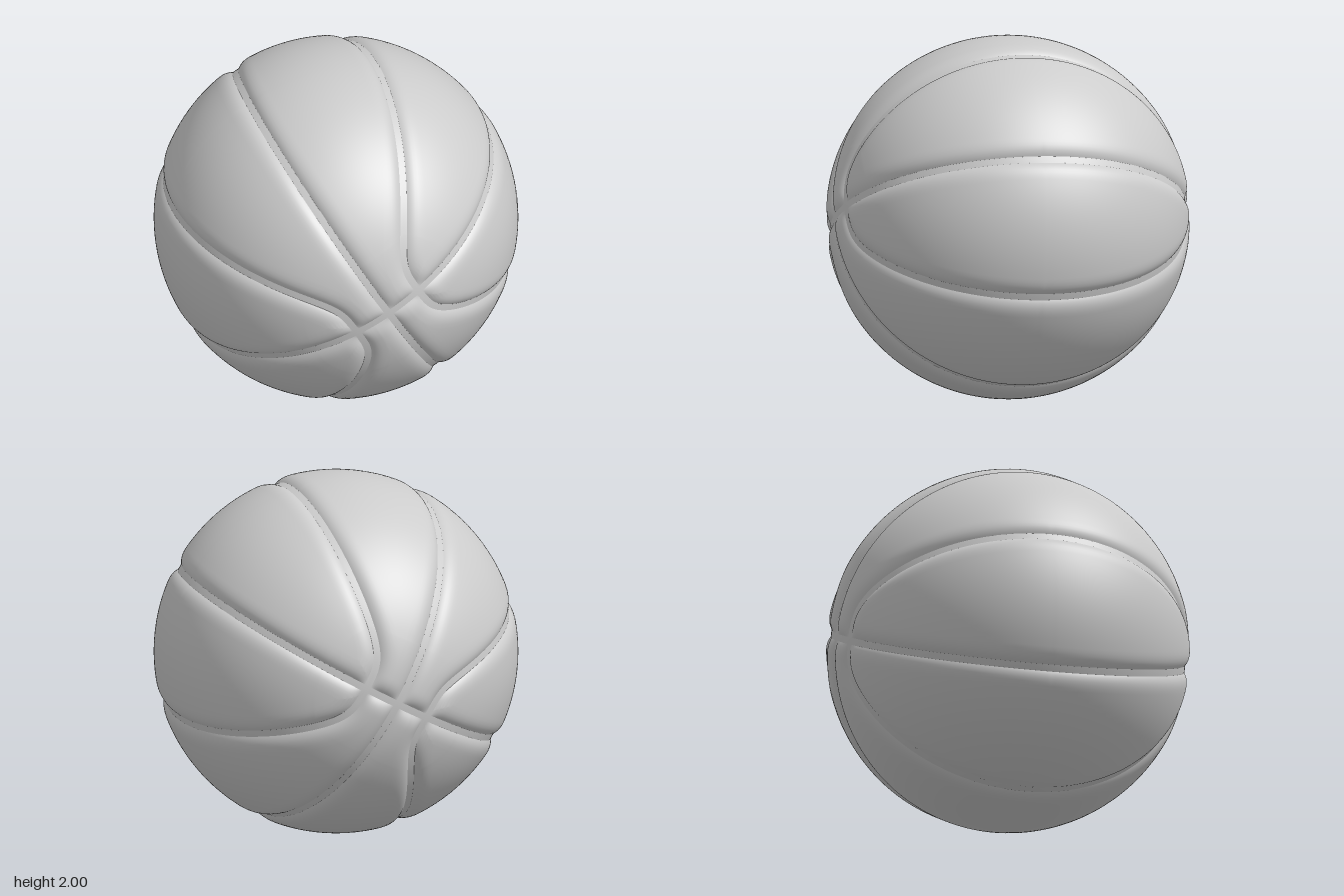
import * as THREE from 'three';
import { mergeVertices } from 'three/addons/utils/BufferGeometryUtils.js';

// The seams are symmetric in a tilted frame: P is the front crossing, U and V lie
// along the two great-circle seams that meet there.
const P = new THREE.Vector3(0.15, 0.035, 0.988).normalize();
const U = new THREE.Vector3(0.855, 0.494, -0.147).addScaledVector(P, -0.0001).normalize();
const V = new THREE.Vector3().crossVectors(P, U).normalize();
U.crossVectors(V, P);

const HALF = 0.02;   // half width of a seam
const DEPTH = 0.025; // seam depth
const ROUND = 0.1;   // how far the panel edge is rounded

// Angular distances to the three seams, for a unit point [p, u, v] in the first octant
const toCircle = c => Math.asin(Math.min(1, Math.abs(c)));
const curveU = v => Math.pow(Math.pow(0.975 * v, 4) + Math.pow(0.21, 4), 0.25);
function toCurve([, u, v]) {
  const w = curveU(v);
  const gv = -Math.pow(0.975, 4) * Math.pow(v / w, 3);
  const radial = u + gv * v;
  return Math.abs(u - w) / Math.sqrt(Math.max(1e-6, 1 + gv * gv - radial * radial));
}
const distances = q => [toCircle(q[1]), toCircle(q[2]), toCurve(q)];

// Surface radius: flat seam floor, panels rounding up out of it
function radius(q) {
  let keep = 1;
  for (const d of distances(q)) {
    const t = THREE.MathUtils.clamp((d - HALF) / ROUND, 0, 1);
    keep *= 1 - Math.pow(1 - t, 3);
  }
  return 1 - DEPTH * (1 - keep);
}

function bisect(test, lo, hi) {
  for (let i = 0; i < 40; i++) {
    const mid = (lo + hi) / 2;
    if (test(mid)) hi = mid; else lo = mid;
  }
  return (lo + hi) / 2;
}

// One row of points across a panel, with samples packed against both seams
const OFFSETS = [0, 0.01, HALF, 0.027, 0.036, 0.048, 0.062, 0.08, 0.1, 0.12];
const MIDDLE = 14;
function row(point, d0, d1) {
  const a = OFFSETS.map(o => (o === 0 ? 0 : bisect(t => d0(point(t)) >= o, 0, 0.5)));
  const b = OFFSETS.map(o => (o === 0 ? 1 : 1 - bisect(t => d1(point(1 - t)) >= o, 0, 0.5)));
  const ts = [...a];
  const from = a[a.length - 1], to = b[b.length - 1];
  for (let i = 1; i < MIDDLE; i++) ts.push(from + (to - from) * i / MIDDLE);
  ts.push(...b.reverse());
  return ts.map(point);
}

// Point on the sphere by longitude and latitude about U
const aboutU = (phi, theta) =>
  [Math.cos(theta) * Math.cos(phi), Math.sin(theta), Math.cos(theta) * Math.sin(phi)];

// Rows of the inner panel (great circle to curve) and outer panel (curve to great circle)
function octantRows() {
  const phis = [];
  for (let i = 0; i < 36; i++) phis.push(i * 0.01);
  const start = 0.35, steps = 38;
  for (let i = 1; i <= steps; i++) phis.push(start + (Math.PI / 2 - start) * i / steps);

  const inner = [], outer = [];
  for (const phi of phis) {
    const thetaC = bisect(th => {
      const q = aboutU(phi, th);
      return q[1] >= curveU(q[2]);
    }, 0, Math.PI / 2);
    inner.push(row(t => aboutU(phi, t * thetaC), q => toCircle(q[1]), toCurve));

    const c = aboutU(phi, thetaC);
    const s = Math.hypot(c[1], c[2]), psiC = Math.atan2(c[2], c[1]);
    outer.push(row(t => [c[0], s * Math.cos(t * psiC), s * Math.sin(t * psiC)],
      q => toCircle(q[2]), toCurve));
  }
  return [inner, outer];
}

function buildSurfaces() {
  const seam = [], panel = [];
  const A = new THREE.Vector3(), B = new THREE.Vector3(), N = new THREE.Vector3();

  const place = (q, r, [sp, su, sv]) => new THREE.Vector3()
    .addScaledVector(P, q[0] * sp * r)
    .addScaledVector(U, q[1] * su * r)
    .addScaledVector(V, q[2] * sv * r);

  const triangle = (out, a, b, c) => {
    N.crossVectors(A.subVectors(b, a), B.subVectors(c, a));
    if (N.length() < 1e-9) return;
    const order = N.dot(a) > 0 ? [a, b, c] : [a, c, b];
    for (const v of order) out.push(v.x, v.y, v.z);
  };

  const isSeam = (...qs) => {
    const m = [0, 1, 2].map(k => qs.reduce((sum, q) => sum + q[k], 0) / qs.length);
    const l = Math.hypot(...m);
    return Math.min(...distances(m.map(x => x / l))) < HALF;
  };

  const signs = [];
  for (const a of [1, -1]) for (const b of [1, -1]) for (const c of [1, -1]) signs.push([a, b, c]);

  for (const rows of octantRows()) {
    const radii = rows.map(r => r.map(radius));
    // Mirror the octant to all eight
    for (const sign of signs) {
      const pts = rows.map((r, i) => r.map((q, j) => place(q, radii[i][j], sign)));
      for (let i = 0; i + 1 < rows.length; i++) {
        for (let j = 0; j + 1 < rows[i].length; j++) {
          const corners = [[i, j], [i + 1, j], [i + 1, j + 1], [i, j + 1]];
          for (const [x, y, z] of [[0, 1, 2], [0, 2, 3]]) {
            const tri = [corners[x], corners[y], corners[z]];
            const out = isSeam(...tri.map(([m, n]) => rows[m][n])) ? seam : panel;
            triangle(out, ...tri.map(([m, n]) => pts[m][n]));
          }
        }
      }
    }
  }
  return { seam, panel };
}

function smoothMesh(name, positions, material) {
  let geometry = new THREE.BufferGeometry();
  geometry.setAttribute('position', new THREE.Float32BufferAttribute(positions, 3));
  geometry = mergeVertices(geometry, 1e-5);
  geometry.computeVertexNormals();
  const mesh = new THREE.Mesh(geometry, material);
  mesh.name = name;
  return mesh;
}

export function createModel() {
  const group = new THREE.Group();
  group.name = 'basketball';
  const material = new THREE.MeshStandardMaterial({ color: 0xcccccc });
  const { seam, panel } = buildSurfaces();
  // Separate meshes keep the panel edges crisp
  group.add(smoothMesh('panels', panel, material), smoothMesh('seams', seam, material));
  group.position.y = 1;
  return group;
}
